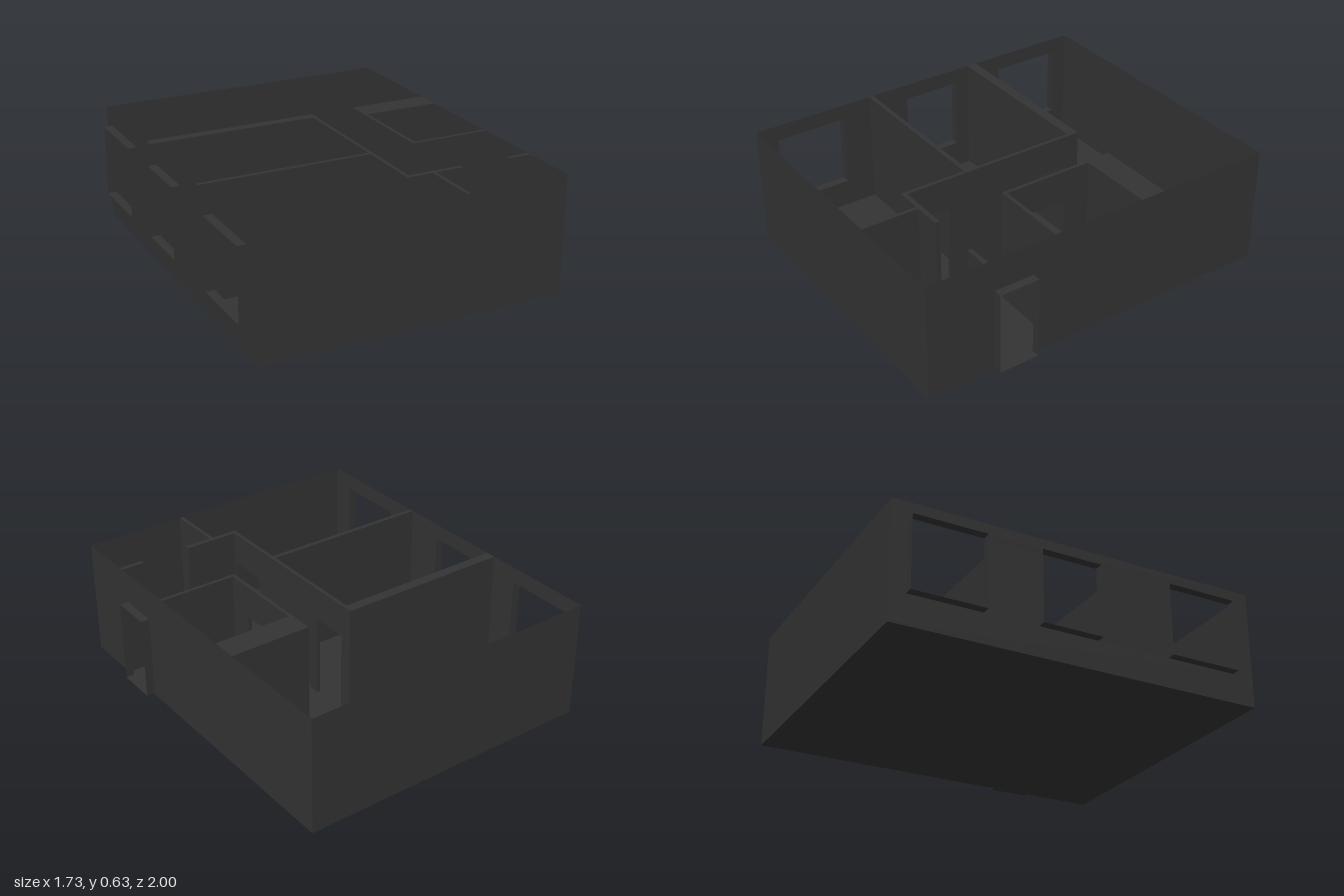
import * as THREE from 'three';

const H = 0.635, X = 0.82, FLOOR = 0.01, DOOR_TOP = 0.46;

export function createModel() {
  const model = new THREE.Group();
  model.name = 'floorPlanHouse';
  const mat = new THREE.MeshStandardMaterial({ color: 0x333333, side: THREE.DoubleSide });

  function add(name, geometry, x = 0, y = 0, z = 0, parent = model) {
    const mesh = new THREE.Mesh(geometry, mat);
    mesh.name = name;
    mesh.position.set(x, y, z);
    parent.add(mesh);
    return mesh;
  }

  // Wall outline in (z, y) with rectangular openings [z0, z1, y0, y1]
  function wallShape(z0, z1, openings) {
    const rect = (T, a, b, c, d) => new T([[a, c], [b, c], [b, d], [a, d]].map(p => new THREE.Vector2(...p)));
    const shape = rect(THREE.Shape, z0, z1, 0, H);
    openings.forEach(o => shape.holes.push(rect(THREE.Path, ...o)));
    return shape;
  }

  // Thin outer wall running along z
  const outerWall = (name, x, openings) =>
    add(name, new THREE.ShapeGeometry(wallShape(-1, 1, openings)).rotateY(-Math.PI / 2), x);

  // Thick inner wall running along z, with doorways
  const innerWallZ = (name, x0, x1, z0, z1, openings = []) =>
    add(name, new THREE.ExtrudeGeometry(wallShape(z0, z1, openings), { depth: x1 - x0, bevelEnabled: false })
      .rotateY(-Math.PI / 2), x1);

  // Thick inner wall running along x
  const innerWallX = (name, x0, x1, z0, z1) =>
    add(name, new THREE.BoxGeometry(x1 - x0, H, z1 - z0), (x0 + x1) / 2, H / 2, (z0 + z1) / 2);

  // Open thin frame standing out from an outer wall around an opening
  function frame(name, side, [z0, z1, y0, y1]) {
    const group = new THREE.Group();
    group.name = name;
    const depth = 0.047, x = side * (X + depth / 2);
    for (const y of [y0, y1])
      add(y === y0 ? 'sill' : 'head', new THREE.PlaneGeometry(depth, z1 - z0).rotateX(-Math.PI / 2),
        x, y, (z0 + z1) / 2, group);
    for (const z of [z0, z1])
      add('jamb', new THREE.PlaneGeometry(depth, y1 - y0), x, (y0 + y1) / 2, z, group);
    model.add(group);
  }

  // Floor slab
  add('floor', new THREE.BoxGeometry(2 * X, FLOOR, 2), 0, FLOOR / 2, 0);

  // Outer walls
  const windows = [[-0.915, -0.525], [-0.235, 0.09], [0.49, 0.88]].map(w => [...w, 0.16, 0.55]);
  const entrance = [0.41, 0.63, FLOOR, DOOR_TOP];
  outerWall('rightOuterWall', -X, windows);
  outerWall('leftOuterWall', X, [entrance]);
  add('frontOuterWall', new THREE.PlaneGeometry(2 * X, H), 0, H / 2, 1);
  add('backOuterWall', new THREE.PlaneGeometry(2 * X, H), 0, H / 2, -1);

  // Window and entrance frames
  windows.forEach(w => frame('windowFrame', -1, w));
  frame('entranceFrame', 1, entrance);

  // Bedroom walls, with doorways onto the hall
  innerWallZ('hallWall', 0.11, 0.13, -0.37, 0.69, [
    [-0.3, -0.09, FLOOR, DOOR_TOP],
    [0.43, 0.65, FLOOR, DOOR_TOP],
  ]);
  innerWallX('backBedroomWall', -X, 0.11, -0.37, -0.315);
  innerWallX('bedroomDivider', -X, 0.11, 0.3, 0.325);

  // Front closet walls, with a gap for the way in
  innerWallX('closetWall', 0.13, 0.42, 0.665, 0.69);
  innerWallX('closetStub', 0.69, X, 0.665, 0.69);
  innerWallZ('closetDivider', 0.25, 0.27, 0.69, 1);

  // Bathroom walls, with a doorway onto the hall
  innerWallZ('bathroomHallWall', 0.38, 0.4, -0.37, 0.285, [[-0.08, 0.13, FLOOR, DOOR_TOP]]);
  innerWallX('bathroomBackWall', 0.4, X, -0.37, -0.23);
  innerWallX('bathroomFrontWall', 0.4, X, 0.265, 0.285);

  return model;
}
